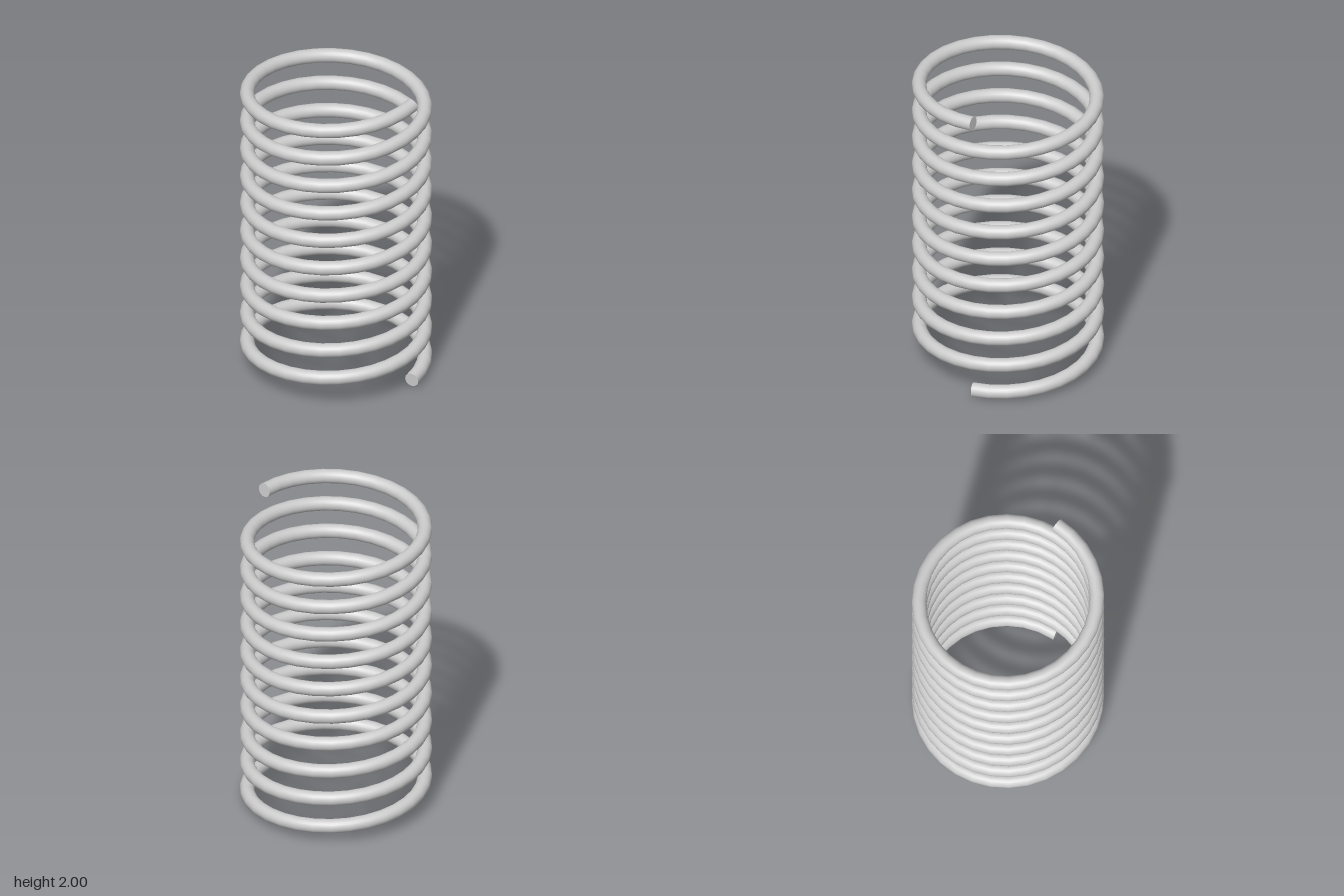
import * as THREE from 'three';

const COIL_RADIUS = 0.5375, WIRE_RADIUS = 0.0437;
const TURNS = 10, STEPS = 32 * TURNS, SIDES = 24;

// Helix made of straight steps, 32 per turn, rising from the front-left corner
class StepHelix extends THREE.Curve {
  corner(i) {
    const t = i / STEPS;
    const a = -Math.PI / 4 + t * TURNS * Math.PI * 2;
    const y = THREE.MathUtils.lerp(WIRE_RADIUS, 2 - WIRE_RADIUS, t);
    return new THREE.Vector3(COIL_RADIUS * Math.cos(a), y, -COIL_RADIUS * Math.sin(a));
  }
  getPoint(t, target = new THREE.Vector3()) {
    const i = Math.min(Math.floor(t * STEPS), STEPS - 1);
    return target.lerpVectors(this.corner(i), this.corner(i + 1), t * STEPS - i);
  }
}

export function createModel() {
  const group = new THREE.Group();
  group.name = 'coilSpring';
  const material = new THREE.MeshStandardMaterial({ color: 0xcccccc });

  // Wire
  const helix = new StepHelix();
  helix.arcLengthDivisions = STEPS;
  const wire = new THREE.Mesh(new THREE.TubeGeometry(helix, STEPS, WIRE_RADIUS, SIDES), material);
  wire.name = 'springWire';
  group.add(wire);

  // Flat cut ends, facing away from the wire
  for (const [name, end, next] of [['bottomEnd', 0, 1], ['topEnd', STEPS, STEPS - 1]]) {
    const cap = new THREE.Mesh(new THREE.CircleGeometry(WIRE_RADIUS, SIDES), material);
    cap.name = name;
    cap.position.copy(helix.corner(end));
    cap.lookAt(cap.position.clone().multiplyScalar(2).sub(helix.corner(next)));
    group.add(cap);
  }
  return group;
}
